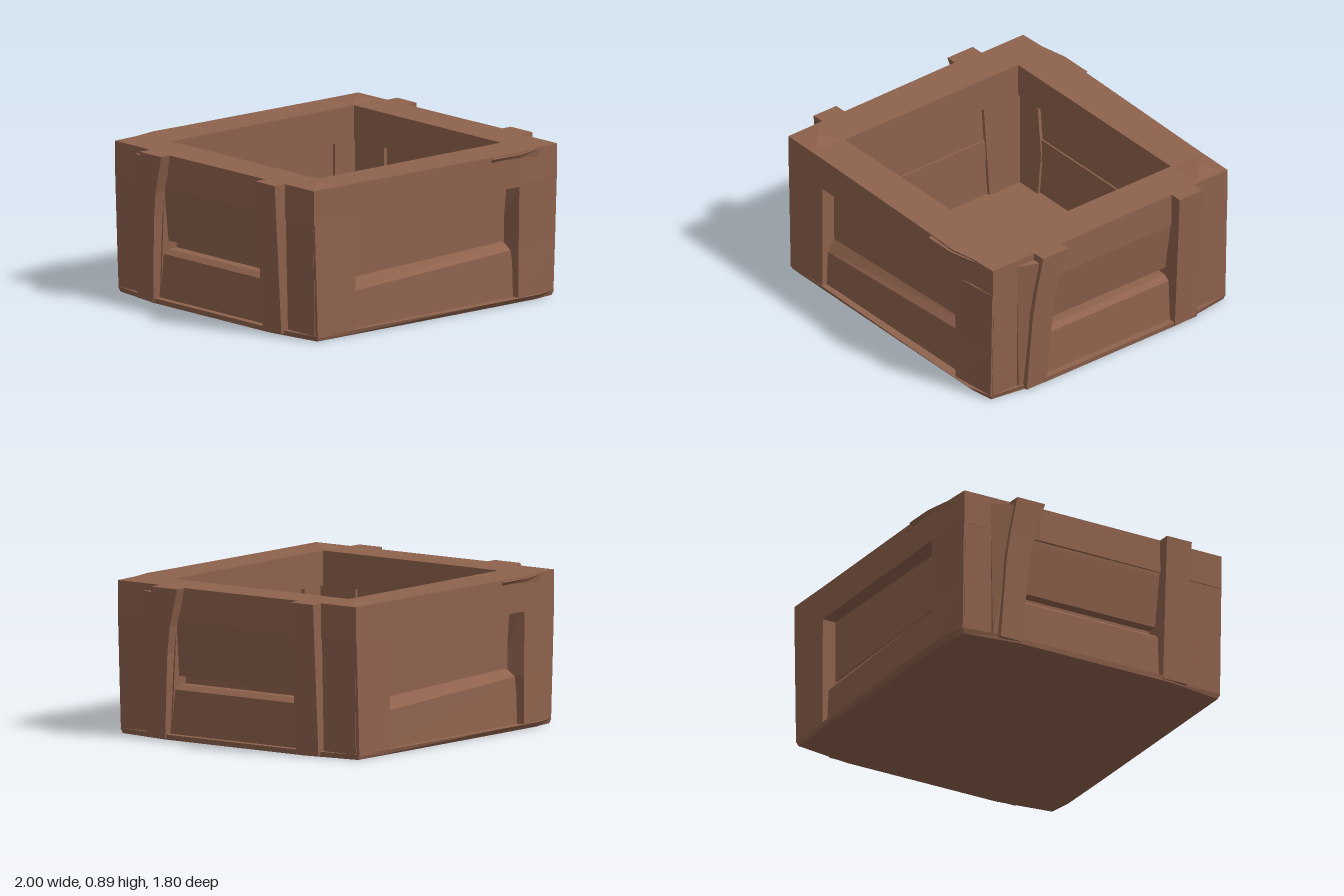
import * as THREE from 'three';

const wood = new THREE.MeshStandardMaterial({ color: 0x8f624d });
wood.name = 'brown wood';

function addMesh(parent, name, geometry) {
  const mesh = new THREE.Mesh(geometry, wood);
  mesh.name = name;
  parent.add(mesh);
  return mesh;
}

// Faceted solid through stacked rings of [x, y, z], each going +x along its front edge.
function loft(parent, name, rings) {
  const pos = [];
  const tri = (a, b, c) => pos.push(...a, ...b, ...c);
  const n = rings[0].length;
  for (let r = 0; r < rings.length - 1; r++) {
    for (let i = 0; i < n; i++) {
      const j = (i + 1) % n;
      const a = rings[r], b = rings[r + 1];
      tri(a[i], a[j], b[j]);
      tri(a[i], b[j], b[i]);
    }
  }
  const bottom = rings[0], top = rings[rings.length - 1];
  for (let i = 1; i < n - 1; i++) {
    tri(bottom[0], bottom[i + 1], bottom[i]);
    tri(top[0], top[i], top[i + 1]);
  }
  const g = new THREE.BufferGeometry();
  g.setAttribute('position', new THREE.Float32BufferAttribute(pos, 3));
  g.computeVertexNormals();
  return addMesh(parent, name, g);
}

// Rectangular ring; yRight lets the height differ at the +x end.
const rect = (y, x0, x1, z0, z1, yRight = y) =>
  [[x0, y, z1], [x1, yRight, z1], [x1, yRight, z0], [x0, y, z0]];

// Half an outline of [x, z], completed by a half turn.
const halfTurn = (pts) => [...pts, ...pts.map(([x, z]) => [-x, -z])];

// Front and right sides; the other two are the same half turned round.
function createHalf() {
  const half = new THREE.Group();

  // Front planks
  loft(half, 'frontUpperPlank', [
    rect(0.31, -0.64, 0.64, 0.72, 0.775, 0.35),
    rect(0.71, -0.64, 0.64, 0.72, 0.775)]);
  loft(half, 'frontLowerPlank', [
    rect(0.02, -0.64, 0.61, 0.72, 0.83),
    rect(0.24, -0.64, 0.61, 0.72, 0.82, 0.30),
    rect(0.305, -0.64, 0.61, 0.72, 0.77, 0.345)]);
  loft(half, 'frontBackingPlank', [
    rect(0.26, -0.64, 0.64, 0.71, 0.735), rect(0.4, -0.64, 0.64, 0.71, 0.735)]);

  // Side planks, the upper one leaning in below the rim
  loft(half, 'sideUpperPlank', [
    rect(0.36, 0.78, 0.865, -0.47, 0.5),
    rect(0.66, 0.78, 0.915, -0.47, 0.5),
    rect(0.71, 0.78, 0.92, -0.47, 0.5)]);
  loft(half, 'sideLowerPlank', [
    rect(0.02, 0.78, 0.905, -0.47, 0.5),
    rect(0.285, 0.78, 0.895, -0.47, 0.5),
    rect(0.31, 0.78, 0.86, -0.47, 0.5)]);
  loft(half, 'sideBackingPlank', [
    rect(0.26, 0.77, 0.8, -0.47, 0.5), rect(0.4, 0.77, 0.8, -0.47, 0.5)]);

  // Corner posts, each made of a front wing and a side wing
  loft(half, 'rightPostFrontWing', [
    [[0.61, 0.02, 0.875], [0.895, 0.02, 0.85], [0.895, 0.02, 0.7], [0.6, 0.02, 0.7]],
    [[0.61, 0.31, 0.875], [0.905, 0.31, 0.852], [0.905, 0.31, 0.7], [0.57, 0.31, 0.7]],
    [[0.61, 0.71, 0.882], [0.917, 0.71, 0.855], [0.917, 0.71, 0.7], [0.61, 0.71, 0.7]]]);
  loft(half, 'rightPostSideWing', [
    rect(0.02, 0.76, 0.9, 0.48, 0.84), rect(0.71, 0.76, 0.918, 0.43, 0.845)]);
  loft(half, 'leftPostFrontWing', [
    rect(0.02, -0.895, -0.61, 0.7, 0.862), rect(0.71, -0.917, -0.61, 0.7, 0.858)]);
  loft(half, 'leftPostSideWing', [
    rect(0.02, 0.76, 0.9, -0.84, -0.45), rect(0.71, 0.76, 0.917, -0.845, -0.45)]);

  // Side battens, wider towards the top; the front one is bent
  loft(half, 'bentBatten', [
    rect(0.01, 0.85, 0.95, 0.49, 0.63),
    rect(0.5, 0.85, 0.975, 0.455, 0.605),
    rect(0.66, 0.85, 0.985, 0.43, 0.585),
    rect(0.88, 0.85, 1.0, 0.365, 0.55)]);
  loft(half, 'straightBatten', [
    rect(0.01, 0.85, 0.95, -0.61, -0.45), rect(0.88, 0.85, 1.0, -0.61, -0.445)]);
  // Splintered flank beside the bent batten
  loft(half, 'battenSplinter', [
    rect(0.01, 0.85, 0.915, 0.6, 0.66),
    [[0.85, 0.84, 0.68], [0.92, 0.84, 0.68], [0.98, 0.84, 0.54], [0.85, 0.84, 0.54]]]);

  // Chipped ledge on the front of the rim
  loft(half, 'rimChip', [
    [[0.4, 0.84, 0.872], [0.6, 0.84, 0.885], [0.78, 0.8, 0.85], [0.4, 0.84, 0.84]],
    [[0.4, 0.87, 0.902], [0.6, 0.87, 0.902], [0.78, 0.872, 0.865], [0.4, 0.878, 0.84]]]);

  // Slight hump on one rim corner
  const hump = new THREE.ConeGeometry(Math.SQRT1_2, 1, 4, 1, true).toNonIndexed();
  hump.rotateY(Math.PI / 4).scale(0.23, 0.015, 0.22).translate(-0.803, 0.8865, 0.742);
  hump.computeVertexNormals();
  addMesh(half, 'rimHump', hump);
  return half;
}

export function createModel() {
  const crate = new THREE.Group();
  crate.name = 'openCrate';

  // Base with an edge that flares above the ground
  const lower = halfTurn([[-0.89, 0.85], [0.4, 0.86], [0.75, 0.86], [0.89, 0.84], [0.94, 0.5], [0.94, -0.5]]);
  const upper = halfTurn([[-0.9, 0.86], [0.35, 0.885], [0.75, 0.887], [0.9, 0.85], [0.945, 0.5], [0.945, -0.5]]);
  loft(crate, 'base', [
    lower.map(([x, z]) => [x, 0, z]),
    upper.map(([x, z]) => [x, 0.03, z])]);

  // Rim frame
  const outline = halfTurn([[-0.922, 0.857], [-0.6, 0.86], [0.4, 0.88], [0.6, 0.888], [0.75, 0.86], [0.92, 0.853], [0.92, 0.4], [0.935, 0.36], [0.925, -0.5]]);
  const shape = new THREE.Shape(outline.map(([x, z]) => new THREE.Vector2(x, -z)));
  shape.holes.push(new THREE.Path(
    [[-0.69, -0.63], [-0.69, 0.63], [0.69, 0.63], [0.69, -0.63]].map(([x, y]) => new THREE.Vector2(x, y))));
  const rim = new THREE.ExtrudeGeometry(shape, { depth: 0.2, bevelEnabled: false });
  rim.rotateX(-Math.PI / 2).translate(0, 0.68, 0);
  addMesh(crate, 'rim', rim);

  // Walls
  for (const turn of [0, Math.PI]) {
    const half = createHalf();
    half.name = turn ? 'backAndLeftWalls' : 'frontAndRightWalls';
    half.rotation.y = turn;
    crate.add(half);
  }
  return crate;
}
